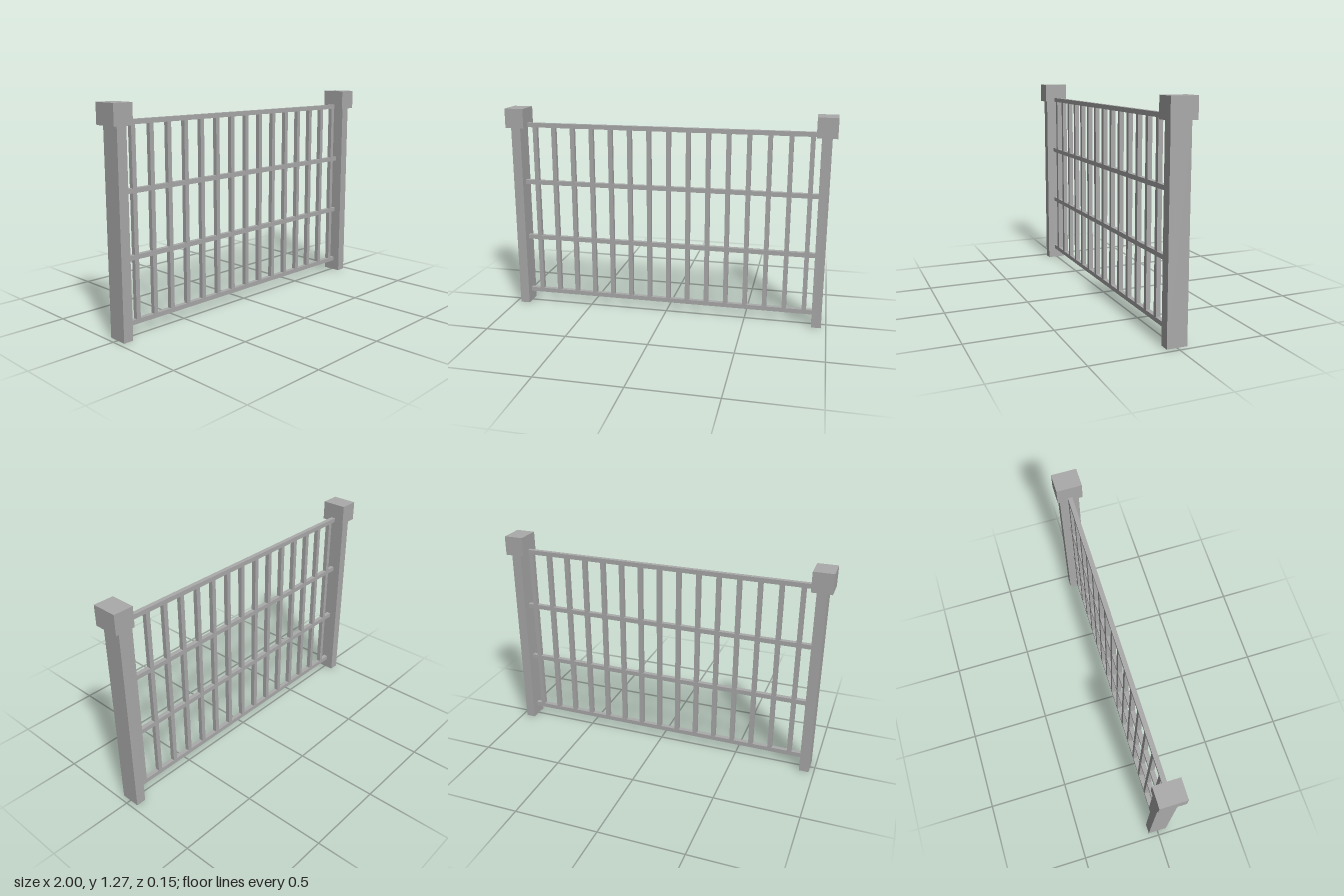
import * as THREE from 'three';

export function createModel() {
  const fence = new THREE.Group();
  fence.name = 'fencePanel';

  const grey = new THREE.MeshStandardMaterial({ color: 0xaaaaaa });
  grey.name = 'grey';

  // Adds a box centred on (x, z = 0) whose underside sits at y = bottom
  const addBox = (name, width, height, depth, x, bottom) => {
    const mesh = new THREE.Mesh(new THREE.BoxGeometry(width, height, depth), grey);
    mesh.name = name;
    mesh.position.set(x, bottom + height / 2, 0);
    fence.add(mesh);
  };

  // End posts with block caps
  const capBottom = 1.157;
  for (const [side, s] of [['left', 1], ['right', -1]]) {
    addBox(`${side}Post`, 0.059, capBottom, 0.118, s * 0.941, 0);
    addBox(`${side}PostCap`, 0.118, 0.118, 0.152, s * 0.941, capBottom);
  }

  // Four evenly spaced rails running between the posts
  const railSize = 0.027;
  const lowestRail = 0.065;
  const railPitch = 0.3635;
  for (let i = 0; i < 4; i++) {
    addBox(`rail${i + 1}`, 1.823, railSize, railSize, 0, lowestRail + i * railPitch);
  }

  // Fifteen upright bars, from the bottom rail to the top rail
  const barBottom = lowestRail + railSize / 2;
  for (let i = 0; i < 15; i++) {
    addBox(`bar${i + 1}`, 0.027, 3 * railPitch, 0.0265, -0.835 + i * 0.1213, barBottom);
  }

  return fence;
}
